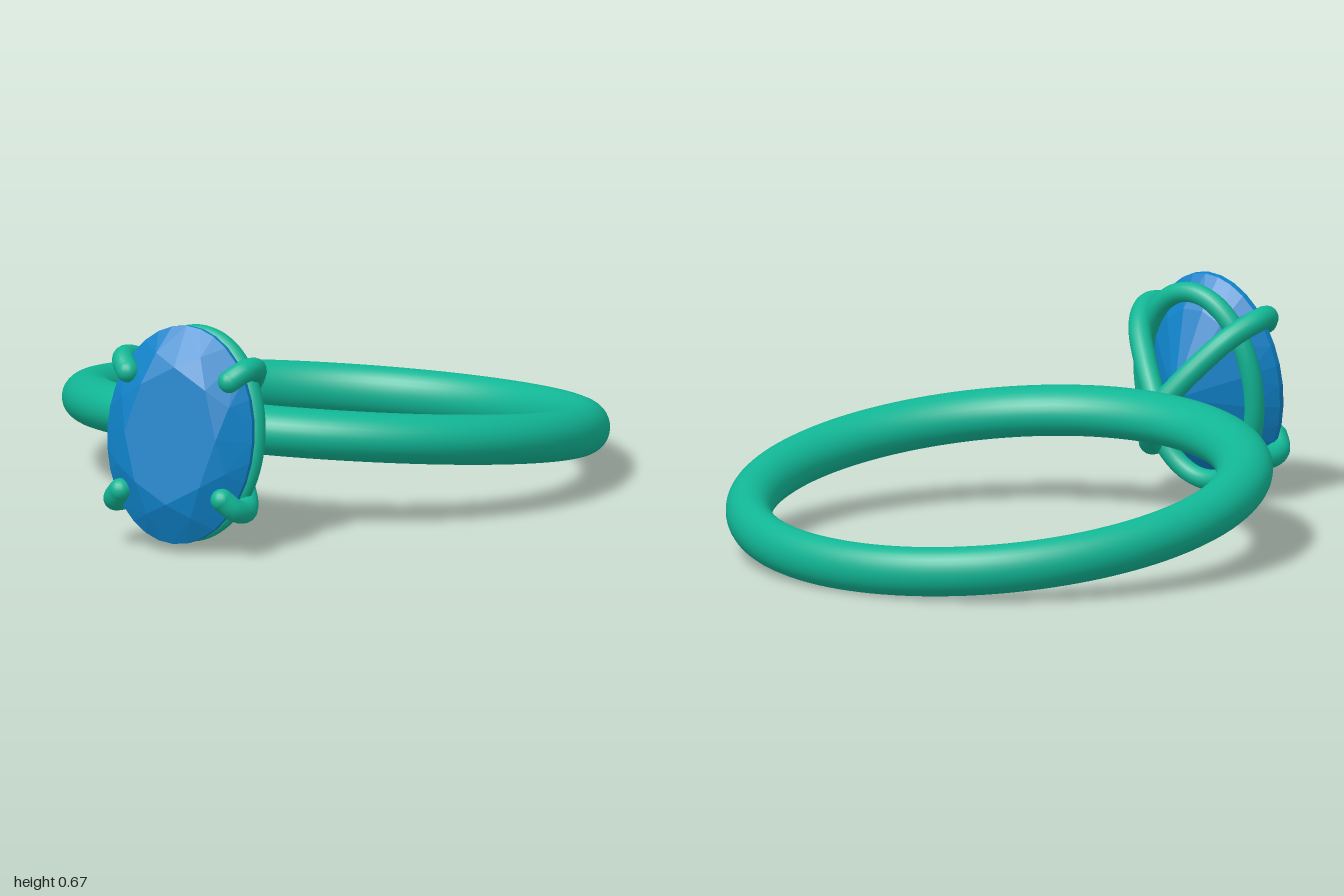
import * as THREE from 'three';
import { ConvexGeometry } from 'three/addons/geometries/ConvexGeometry.js';
import { ParametricGeometry } from 'three/addons/geometries/ParametricGeometry.js';

const V = (x, y, z) => new THREE.Vector3(x, y, z);

export function createModel() {
  const metal = new THREE.MeshStandardMaterial({ color: 0x11b695 });
  const gemBlue = new THREE.MeshStandardMaterial({ color: 0x0f82c8, flatShading: true });
  const model = new THREE.Group();
  model.name = 'ring';

  // The whole ring is tilted, with its front raised
  const tilted = new THREE.Group();
  tilted.name = 'tiltedRing';
  tilted.position.set(0, 0.188, -0.2);
  tilted.rotation.x = -0.148;
  model.add(tilted);

  const add = (name, geometry, material, parent = tilted) => {
    const mesh = new THREE.Mesh(geometry, material);
    mesh.name = name;
    parent.add(mesh);
    return mesh;
  };

  // Band: oval section, thicker towards the front because the hole is off centre
  const outer = 0.81, inner = 0.658, shift = 0.026, halfHeight = 0.074;
  add('band', new ParametricGeometry((u, v, target) => {
    const a = u * Math.PI * 2, b = v * Math.PI * 2;
    const t = (1 + Math.cos(b)) / 2; // 0 at the hole, 1 at the outside
    const r = inner + (outer - inner) * t;
    target.set(r * Math.sin(a), halfHeight * Math.sin(b), r * Math.cos(a) - shift * (1 - t));
  }, 128, 32), metal);

  // Head: stone, gallery wire and prongs
  const head = new THREE.Group();
  head.name = 'head';
  tilted.add(head);

  // Oval faceted stone, from rings of [count, scale, depth, half-step offset]
  const girdleZ = 1.1, points = [V(0, 0, 0.882)];
  const rings = [
    [8, 0.63, 0.08, 0],
    [8, 0.8, 0.056, 0.5],
    [32, 1, 0.01, 0],
    [32, 1, -0.008, 0],
    [16, 0.74, -0.085, 0.5],
  ];
  for (const [n, s, z, offset] of rings) {
    for (let i = 0; i < n; i++) {
      const a = ((i + offset) / n) * Math.PI * 2;
      points.push(V(0.235 * s * Math.cos(a), 0.324 * s * Math.sin(a), girdleZ + z));
    }
  }
  add('stone', new ConvexGeometry(points), gemBlue, head);

  // Oval wire behind the girdle
  const loop = [];
  for (let i = 0; i < 24; i++) {
    const a = (i / 24) * Math.PI * 2;
    loop.push(V(0.2 * Math.cos(a), 0.292 * Math.sin(a), 1.011));
  }
  add('galleryWire', new THREE.TubeGeometry(new THREE.CatmullRomCurve3(loop, true), 96, 0.03, 16, true), metal, head);

  // Four prongs curving from the band over the edge of the stone
  const prongRadius = 0.034;
  for (const sx of [-1, 1]) {
    for (const sy of [-1, 1]) {
      const path = [
        [0, 0, 0.8], [0.085, 0.1, 0.875], [0.163, 0.182, 0.965],
        [0.202, 0.212, 1.06], [0.195, 0.205, 1.115], [0.165, 0.176, 1.145],
      ].map(([x, y, z]) => V(sx * x, sy * y, z));
      const prong = new THREE.Group();
      prong.name = (sy > 0 ? 'upper' : 'lower') + (sx > 0 ? 'Left' : 'Right') + 'Prong';
      head.add(prong);
      add('prongArm', new THREE.TubeGeometry(new THREE.CatmullRomCurve3(path), 40, prongRadius, 16), metal, prong);
      add('prongTip', new THREE.SphereGeometry(prongRadius, 16, 12), metal, prong).position.copy(path[5]);
    }
  }
  return model;
}
